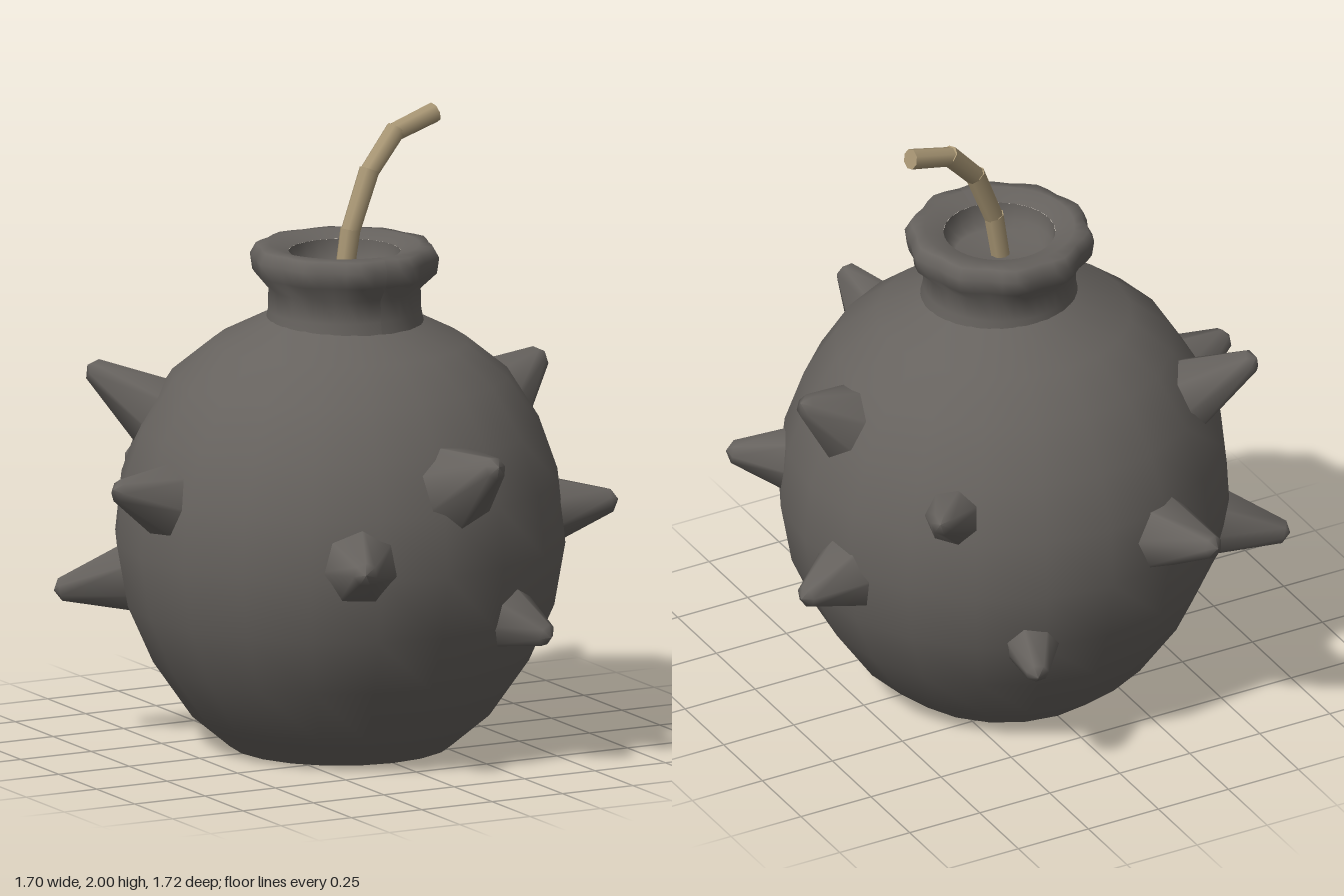
import * as THREE from 'three';

const iron = new THREE.MeshStandardMaterial({ name: 'dark iron', color: 0x66625e });
const rope = new THREE.MeshStandardMaterial({ name: 'tan rope', color: 0xa89674 });
const UP = new THREE.Vector3(0, 1, 0);
const CENTRE = new THREE.Vector3(0, 0.66, 0.005);

const lathe = (points, sides) =>
  new THREE.LatheGeometry(points.map(([r, y]) => new THREE.Vector2(r, y)), sides);

function add(parent, name, geometry, material) {
  const mesh = new THREE.Mesh(geometry, material);
  mesh.name = name;
  parent.add(mesh);
  return mesh;
}

// Seven-sided blunt cone pointing outward from the body centre, ending at the tip
function addSpike(parent, [x, y, z, radius]) {
  const axis = new THREE.Vector3(x, y, z).sub(CENTRE);
  const start = 0.62;
  const h = axis.length() - start;
  const geometry = lathe([[radius * 0.92, -0.06], [radius, 0], [0.037, h - 0.015], [0, h + 0.005]], 7);
  const spike = add(parent, 'spike', geometry, iron);
  axis.normalize();
  spike.quaternion.setFromUnitVectors(UP, axis);
  spike.position.copy(CENTRE).addScaledVector(axis, start);
}

export function createModel() {
  const model = new THREE.Group();
  model.name = 'spikedBomb';

  // Round shell with a flat underside
  add(model, 'body', lathe([
    [0.35, 0.0], [0.47, 0.1], [0.595, 0.28], [0.675, 0.46], [0.71, 0.66],
    [0.69, 0.85], [0.63, 1.02], [0.53, 1.18], [0.40, 1.285], [0.22, 1.375],
  ], 20), iron);
  const base = add(model, 'base', new THREE.CircleGeometry(0.35, 20), iron);
  base.rotation.x = Math.PI / 2;

  // Neck and wavy rim
  const neckGeometry = lathe([
    [0.255, 1.32], [0.24, 1.39], [0.238, 1.46], [0.283, 1.51], [0.29, 1.56],
    [0.272, 1.593], [0.235, 1.597], [0.175, 1.575],
  ], 40);
  const p = neckGeometry.attributes.position;
  for (let i = 0; i < p.count; i++) {
    const x = p.getX(i), z = p.getZ(i);
    if (Math.hypot(x, z) > 0.25 && p.getY(i) > 1.5) {
      const wave = 1 + 0.03 * Math.cos(10 * Math.atan2(z, x));
      p.setX(i, x * wave);
      p.setZ(i, z * wave);
    }
  }
  neckGeometry.computeVertexNormals();
  const neck = add(model, 'neck', neckGeometry, iron);
  neck.position.set(0.007, 0, 0.015);

  // Shallow well holding the fuse
  const well = add(model, 'fuseWell', lathe([[0.175, 1.575], [0.17, 1.52], [0.14, 1.5], [0, 1.49]], 24), iron);
  well.position.copy(neck.position);

  // Spikes: tip x, y, z and base radius
  const spikes = [
    [0.10, 1.03, 0.855, 0.165], [-0.34, 0.72, 0.80, 0.15],
    [0.35, 0.44, 0.735, 0.125], [0.755, 0.78, 0.42, 0.125],
    [0.84, 0.60, -0.22, 0.15], [0.73, 1.17, -0.015, 0.165],
    [-0.64, 1.18, -0.47, 0.145], [-0.78, 0.485, -0.43, 0.13],
    [-0.85, 0.91, 0.09, 0.15], [-0.29, 0.79, -0.855, 0.15],
    [0.28, 0.42, -0.73, 0.115], [0.55, 0.98, -0.59, 0.12],
  ];
  spikes.forEach((s) => addSpike(model, s));

  // Bent fuse made of overlapping rope lengths
  const fuse = new THREE.Group();
  fuse.name = 'fuse';
  model.add(fuse);
  const path = [
    [0.0, 1.48, 0.02], [0.025, 1.63, 0.017], [0.10, 1.81, 0.0],
    [0.205, 1.925, -0.025], [0.358, 1.97, -0.045],
  ].map((v) => new THREE.Vector3(...v));
  for (let i = 0; i < path.length - 1; i++) {
    const along = path[i + 1].clone().sub(path[i]);
    const length = along.length() + (i < 3 ? 0.012 : 0);
    const piece = add(fuse, 'fuseLength', new THREE.CylinderGeometry(0.033, 0.031, length, 8), rope);
    piece.quaternion.setFromUnitVectors(UP, along.normalize());
    piece.position.copy(path[i]).addScaledVector(along, length / 2);
  }
  return model;
}
